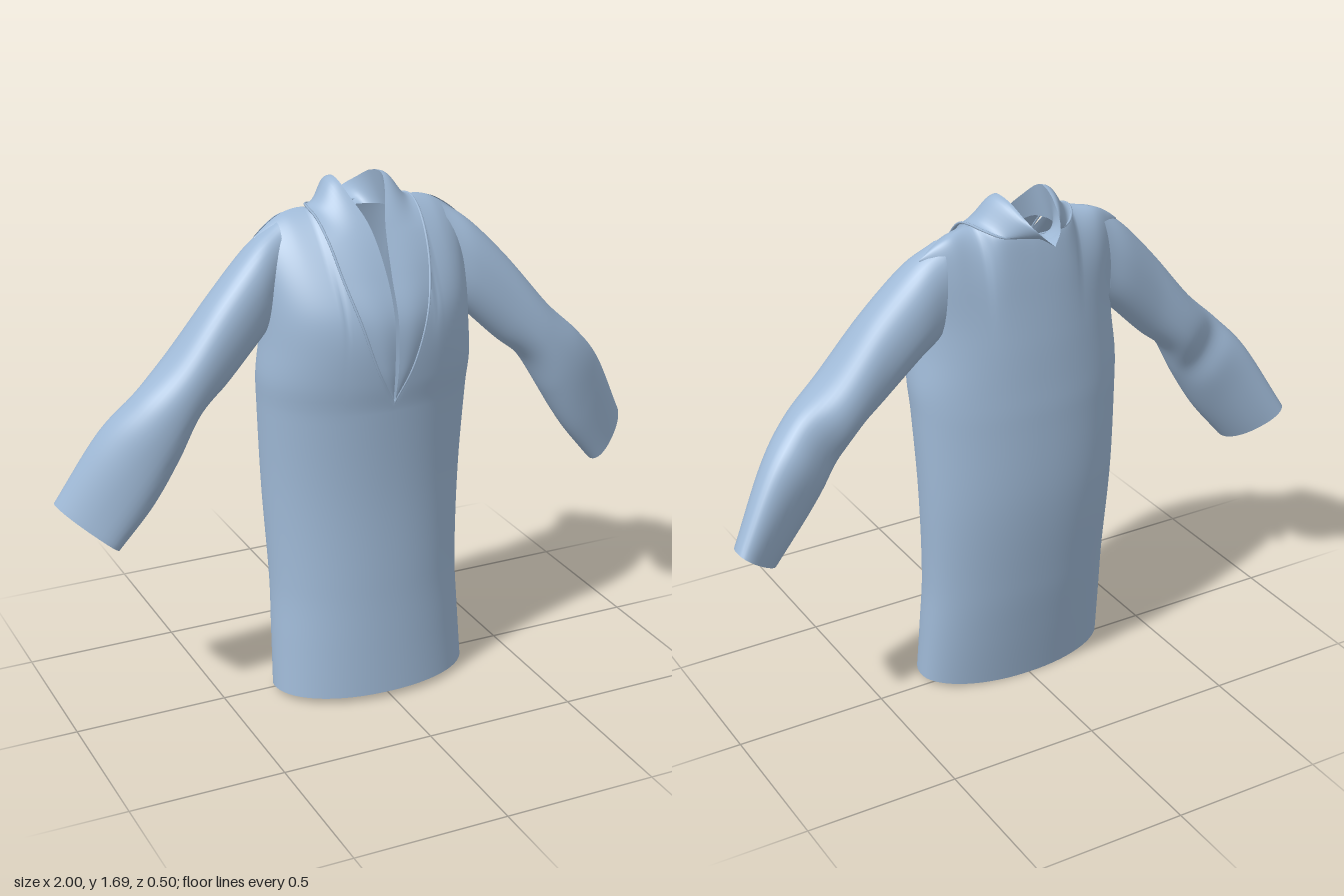
import * as THREE from 'three';
import { mergeVertices } from 'three/addons/utils/BufferGeometryUtils.js';

const cloth = new THREE.MeshStandardMaterial({ color: 0x9fb9d6, side: THREE.DoubleSide });

// Smooth value lookup: keys are [position, value, value, ...] rows
function track(keys, t) {
  const n = keys.length - 1;
  if (t <= keys[0][0]) return keys[0].slice(1);
  if (t >= keys[n][0]) return keys[n].slice(1);
  let i = 0;
  while (t > keys[i + 1][0]) i++;
  const a = keys[i], b = keys[i + 1], p = keys[Math.max(i - 1, 0)], q = keys[Math.min(i + 2, n)];
  const d = b[0] - a[0], s = (t - a[0]) / d;
  return a.slice(1).map((v, k) => {
    const c = k + 1;
    const ma = d * (b[c] - p[c]) / (b[0] - p[0]), mb = d * (q[c] - a[c]) / (q[0] - a[0]);
    return (2 * s ** 3 - 3 * s * s + 1) * v + (s ** 3 - 2 * s * s + s) * ma
      + (3 * s * s - 2 * s ** 3) * b[c] + (s ** 3 - s * s) * mb;
  });
}
const signedPow = (v, p) => Math.sign(v) * Math.abs(v) ** p;

// Skin over a grid of points f(column 0..1, row 0..1)
function skin(name, cols, rows, f, flip = false) {
  const pos = [], idx = [];
  for (let j = 0; j <= rows; j++)
    for (let i = 0; i <= cols; i++) pos.push(...f(i / cols, j / rows));
  for (let j = 0; j < rows; j++)
    for (let i = 0; i < cols; i++) {
      const a = j * (cols + 1) + i, b = a + 1, c = a + cols + 1, d = c + 1;
      if (flip) idx.push(a, c, b, b, c, d);
      else idx.push(a, b, c, b, d, c);
    }
  let g = new THREE.BufferGeometry();
  g.setAttribute('position', new THREE.Float32BufferAttribute(pos, 3));
  g.setIndex(idx);
  g = mergeVertices(g, 1e-5);
  g.computeVertexNormals();
  const mesh = new THREE.Mesh(g, cloth);
  mesh.name = name;
  return mesh;
}

// Body outline: height, half width, front z, back z
const outline = [
  [0, .334, .222, -.11], [.2, .327, .213, -.145], [.38, .322, .206, -.173], [.7, .335, .202, -.205],
  [1, .35, .22, -.2], [1.1, .355, .235, -.193], [1.22, .344, .245, -.184], [1.3, .34, .24, -.176],
  [1.36, .34, .22, -.17], [1.45, .343, .172, -.162], [1.55, .343, .112, -.15], [1.62, .34, .065, -.135],
];
const power = 2 / 2.1;
function bodyRing(angle, y) {
  const [w, front, back] = track(outline, y);
  const mid = (front + back) / 2 - .025;
  const c = Math.cos(angle);
  return [w * signedPow(Math.sin(angle), power), y, mid + (c > 0 ? front - mid : mid - back) * signedPow(c, power)];
}

// Top edge of the body: collar seam, shoulder ridge, back of neck (x, y, z)
const angleAt = x => Math.asin(Math.min(1, (x / .345) ** (1 / power)));
const frontEdge = [
  [0, 1.03, .222], [.06, 1.15, .237], [.11, 1.3, .226], [.145, 1.43, .167], [.157, 1.53, .1],
  [.162, 1.585, .03], [.166, 1.606, -.035], [.25, 1.592, -.055], [.345, 1.53, -.045],
];
const backEdge = [
  [.3, 1.567, -.05], [.25, 1.592, -.055], [.166, 1.606, -.035], [.148, 1.598, -.09], [.11, 1.583, -.13], [0, 1.575, -.14],
];
const topEdge = [
  ...frontEdge.map(p => [angleAt(p[0]), ...p]),
  ...backEdge.map(p => [Math.PI - angleAt(p[0]), ...p]),
];

function bodyPoint(u, v) {
  const angle = u * Math.PI * 2, side = angle > Math.PI ? -1 : 1;
  const half = side > 0 ? angle : 2 * Math.PI - angle;
  if (v < .5) {
    const hem = .02 - .02 * Math.max(0, -Math.cos(half)) ** 2;
    return bodyRing(angle, hem + (1 - hem) * v * 2);
  }
  const s = Math.sin((v - .5) * Math.PI), e = track(topEdge, half);
  e[0] *= side;
  const p = bodyRing(angle, 1 + (e[1] - 1) * s);
  return p.map((k, i) => k + (e[i] - k) * s ** 6);
}

// Collar and placket strip: seam edge, free edge, inner neck line
const seam = [
  [0, 1.03, .224], [.06, 1.15, .239], [.11, 1.3, .228], [.145, 1.43, .17], [.161, 1.53, .103],
  [.17, 1.59, .03], [.173, 1.609, -.035], [.153, 1.602, -.09], [.113, 1.587, -.133], [.06, 1.58, -.143], [0, 1.577, -.143],
];
const crest = [
  [.003, 1.03, .226], [.006, 1.15, .245], [.006, 1.3, .242], [.008, 1.43, .187], [.025, 1.56, .107],
  [.06, 1.645, .03], [.076, 1.687, -.03], [.07, 1.68, -.1], [.056, 1.643, -.17], [.035, 1.61, -.22], [0, 1.575, -.248],
];
const neck = [
  [.05, 1.5, .12], [.085, 1.56, .04], [.1, 1.575, -.03], [.095, 1.575, -.08], [.06, 1.57, -.115], [.03, 1.57, -.12], [0, 1.57, -.12],
];
const along = (pts, t) => track(pts.map((p, i) => [i, ...p]), t * (pts.length - 1));

function collarPoint(u, v) {
  const a = along(seam, u), b = along(crest, u);
  const p = a.map((k, i) => k + (b[i] - k) * v);
  // hollow above the seam, rolled over at the free edge
  p[1] -= .012 * Math.sin(2 * Math.PI * v) * Math.max(0, Math.sin((u - .4) / .6 * Math.PI));
  if (u < .5) p[2] += .008 * Math.sin(Math.PI * v) * Math.sin(u * 2 * Math.PI);
  return p;
}
function liningPoint(u, v) {
  const a = along(crest, .4 + .6 * u), b = along(neck, u);
  return a.map((k, i) => k + (b[i] - k) * v);
}

// Sleeve sections: top x, top y, bottom x, bottom y, middle z, half depth, twist in z
const sleeve = [
  [0, .275, 1.574, .3, 1.26, -.035, .075, 0], [1, .37, 1.51, .36, 1.21, -.02, .095, 0],
  [2, .5, 1.377, .475, 1.1, -.003, .103, 0], [3, .645, 1.205, .568, 1.02, .005, .113, 0],
  [4, .768, 1.09, .64, .895, .012, .105, -.01], [5, .872, .972, .728, .755, -.002, .09, -.03],
  [6, 1, .75, .84, .618, -.035, .07, -.055],
];
function sleevePoint(u, v) {
  const [tx, ty, bx, by, z, h, twist] = track(sleeve, v * 6);
  const a = u * Math.PI * 2, c = signedPow(Math.cos(a), .9), s = signedPow(Math.sin(a), .9);
  // one soft hollow behind the elbow
  const hollow = s < 0 ? -.02 * s * Math.exp(-(((v - .64) / .07) ** 2)) : 0;
  return [
    (tx + bx) / 2 + (tx - bx) / 2 * c, (ty + by) / 2 + (ty - by) / 2 * c,
    z + h * s + twist * c + hollow,
  ];
}

export function createModel() {
  const model = new THREE.Group();
  model.name = 'tunic';
  model.add(skin('body', 160, 72, bodyPoint));

  for (const [side, label] of [[1, 'left'], [-1, 'right']]) {
    const mirror = f => (u, v) => { const p = f(u, v); p[0] *= side; return p; };
    const flip = side < 0;
    model.add(skin(label + 'Sleeve', 40, 60, mirror(sleevePoint), !flip));
    model.add(skin(label + 'Collar', 80, 12, mirror(collarPoint), flip));
    model.add(skin(label + 'CollarLining', 40, 6, mirror(liningPoint), flip));

    // raised stitching along the collar seam
    const path = new THREE.CatmullRomCurve3(seam.map(p => new THREE.Vector3(p[0] * side, p[1], p[2])));
    const stitch = new THREE.Mesh(new THREE.TubeGeometry(path, 80, .004, 6), cloth);
    stitch.name = label + 'CollarSeam';
    model.add(stitch);
  }
  return model;
}
